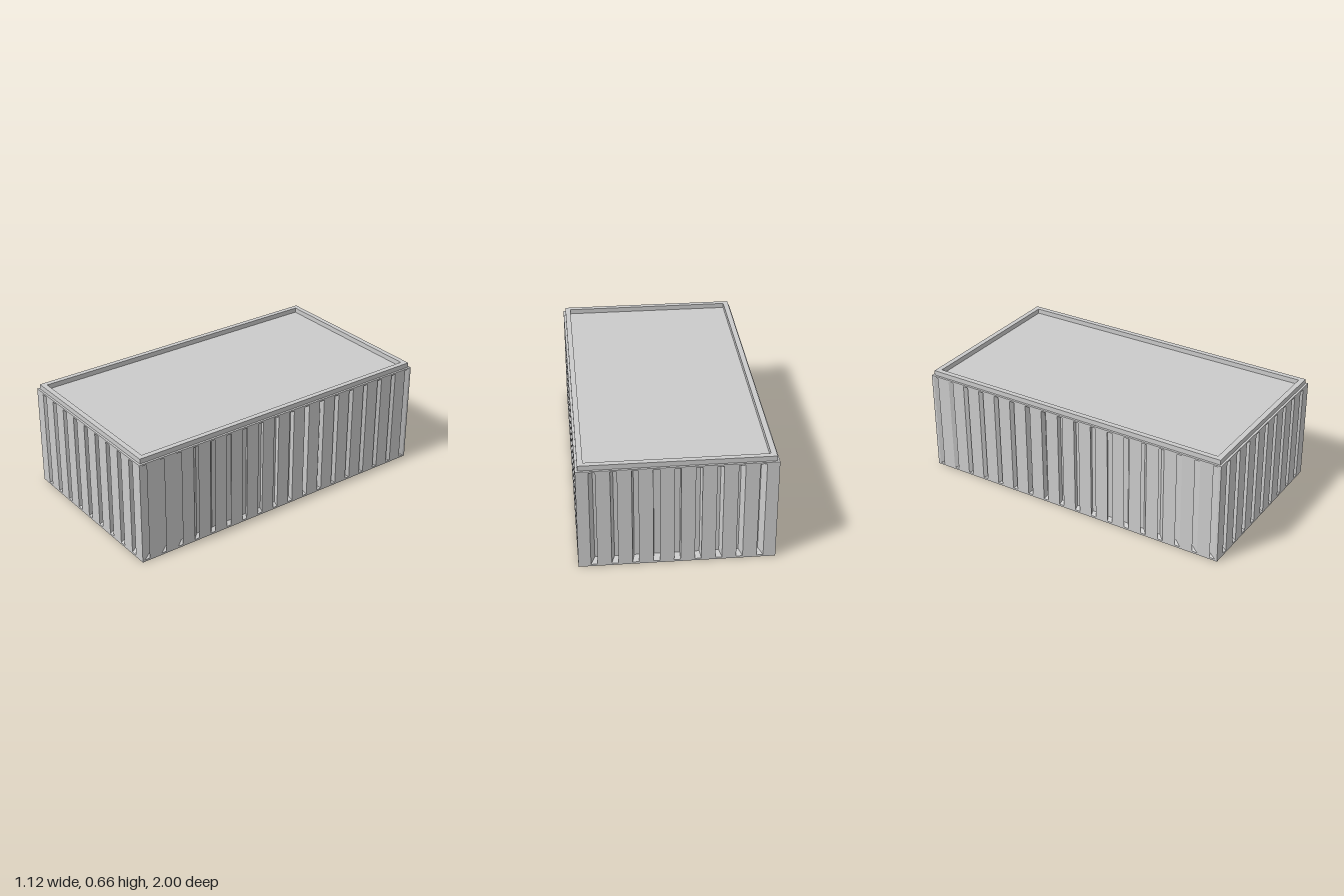
import * as THREE from 'three';
import { mergeGeometries } from 'three/addons/utils/BufferGeometryUtils.js';

const W = 0.56, D = 1, H = 0.632;   // half width, half depth, body height
const MID = H / 2, TAPER = 0.95;    // grooves shrink towards the box centre
const SLOT_Y0 = 0.012, SLOT_Y1 = 0.622;

const material = new THREE.MeshStandardMaterial({ color: 0xcccccc, flatShading: true });

function addMesh(parent, name, geometry) {
  const mesh = new THREE.Mesh(geometry, material);
  mesh.name = name;
  parent.add(mesh);
  return mesh;
}

function rectangle(Type, x0, y0, x1, y1) {
  return new Type([[x0, y0], [x1, y0], [x1, y1], [x0, y1]].map(([x, y]) => new THREE.Vector2(x, y)));
}

// Tapered pocket: four inner walls and a floor, opening towards +z
function grooveGeometry(x0, x1, z) {
  const outer = [[x0, SLOT_Y0], [x1, SLOT_Y0], [x1, SLOT_Y1], [x0, SLOT_Y1]].map(([x, y]) => [x, y, z]);
  const inner = outer.map(([x, y]) => [x * TAPER, MID + (y - MID) * TAPER, z * TAPER]);
  const positions = [];
  const quad = (a, b, c, d) => positions.push(...a, ...b, ...c, ...a, ...c, ...d);
  for (let i = 0; i < 4; i++) {
    const j = (i + 1) % 4;
    quad(outer[i], outer[j], inner[j], inner[i]);
  }
  quad(...inner);
  const geometry = new THREE.BufferGeometry();
  geometry.setAttribute('position', new THREE.Float32BufferAttribute(positions, 3));
  geometry.computeVertexNormals();
  return geometry;
}

// Wall panel with a row of evenly spaced grooves
function createWall(name, halfWidth, distance, count, lastCentre, slotWidth) {
  const wall = new THREE.Group();
  wall.name = name;
  const panel = rectangle(THREE.Shape, -halfWidth, 0, halfWidth, H);
  const grooves = [];
  for (let i = 0; i < count; i++) {
    const x = lastCentre * (2 * i / (count - 1) - 1);
    const x0 = x - slotWidth / 2, x1 = x + slotWidth / 2;
    panel.holes.push(rectangle(THREE.Path, x0, SLOT_Y0, x1, SLOT_Y1));
    grooves.push(grooveGeometry(x0, x1, distance));
  }
  addMesh(wall, 'panel', new THREE.ShapeGeometry(panel).translate(0, 0, distance));
  addMesh(wall, 'grooves', mergeGeometries(grooves));
  return wall;
}

export function createModel() {
  const model = new THREE.Group();
  model.name = 'ribbedBox';

  // Four grooved walls, opposite ones alike
  ['frontWall', 'leftWall', 'backWall', 'rightWall'].forEach((name, i) => {
    const wall = i % 2 === 0
      ? createWall(name, W, D, 9, 0.471, 0.037)
      : createWall(name, D, W, 18, 0.969, 0.032);
    wall.rotation.y = i * Math.PI / 2;
    model.add(wall);
  });

  // Roof and underside
  addMesh(model, 'roof', new THREE.PlaneGeometry(2 * W, 2 * D).rotateX(-Math.PI / 2).translate(0, H, 0));
  addMesh(model, 'base', new THREE.PlaneGeometry(2 * W, 2 * D).rotateX(Math.PI / 2));

  // Raised rim around the roof
  const rim = rectangle(THREE.Shape, -0.547, -0.987, 0.547, 0.987);
  rim.holes.push(rectangle(THREE.Path, -0.515, -0.955, 0.515, 0.955));
  const rimGeometry = new THREE.ExtrudeGeometry(rim, { depth: 0.03, bevelEnabled: false });
  addMesh(model, 'rim', rimGeometry.rotateX(-Math.PI / 2).translate(0, H, 0));

  return model;
}
